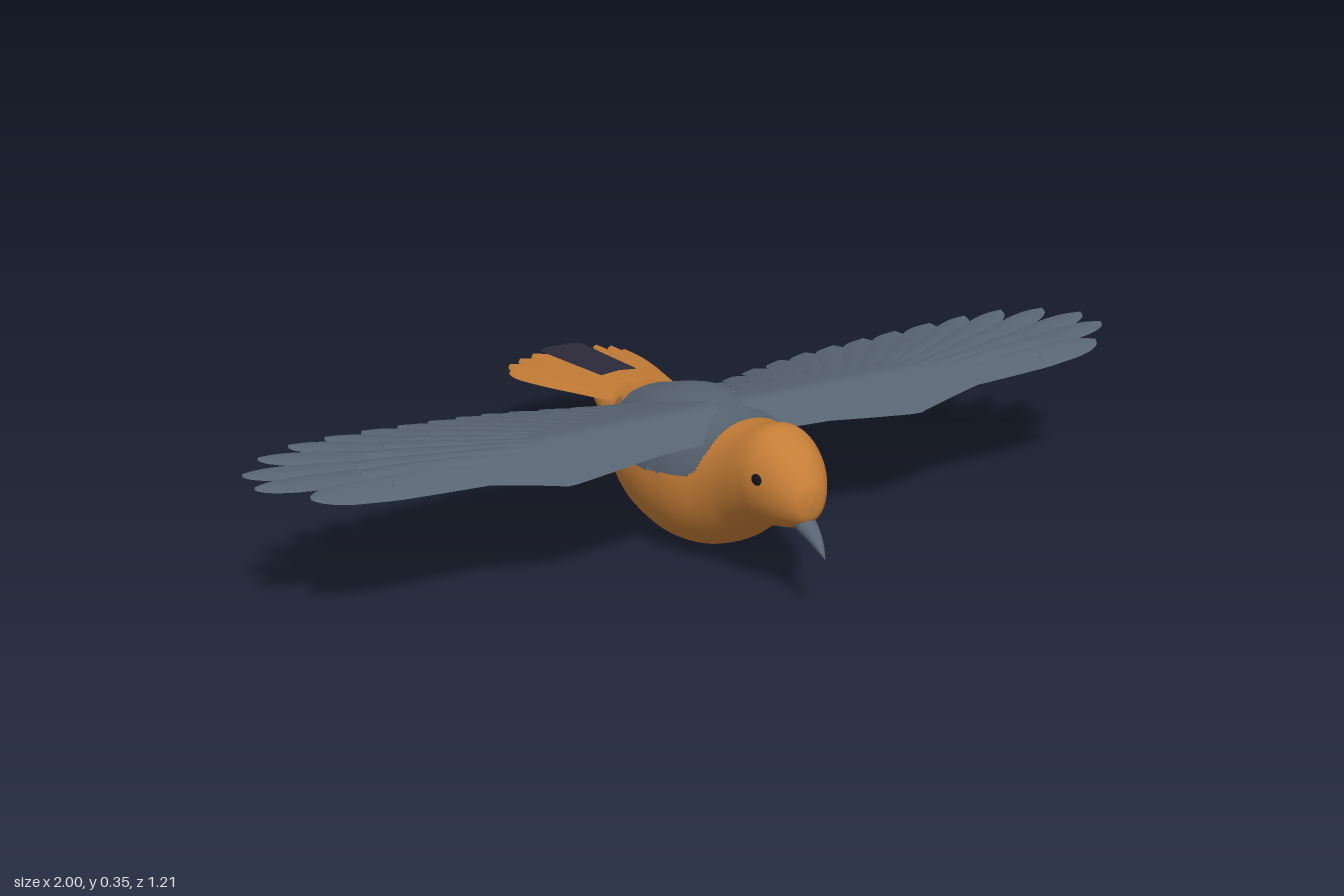
import * as THREE from 'three';

const mat = (name, color) => Object.assign(new THREE.MeshStandardMaterial({ color }), { name });

// Piecewise linear lookup through [x, y] pairs with x rising
function along(pts, x) {
  if (x <= pts[0][0]) return pts[0][1];
  for (let i = 1; i < pts.length; i++) {
    const [x0, y0] = pts[i - 1], [x1, y1] = pts[i];
    if (x <= x1) return y0 + (y1 - y0) * (x - x0) / (x1 - x0);
  }
  return pts[pts.length - 1][1];
}

// Smooth surface from f(u, v) -> [x, y, z]; pick() chooses the material per triangle
function surface(f, nu, nv, { closed = false, flip = false, pick = null } = {}) {
  const pos = [], lists = [[], [], []], cols = closed ? nv : nv + 1;
  for (let i = 0; i <= nu; i++)
    for (let j = 0; j < cols; j++) pos.push(...f(i / nu, j / nv));
  const tri = (a, b, c) => {
    const mid = k => (pos[a * 3 + k] + pos[b * 3 + k] + pos[c * 3 + k]) / 3;
    lists[pick ? pick(mid(1), mid(2)) : 0].push(...(flip ? [a, c, b] : [a, b, c]));
  };
  for (let i = 0; i < nu; i++)
    for (let j = 0; j < nv; j++) {
      const k = (j + 1) % cols;
      const a = i * cols + j, b = a + cols, c = i * cols + k, d = c + cols;
      tri(a, b, c);
      tri(b, d, c);
    }
  const g = new THREE.BufferGeometry();
  g.setAttribute('position', new THREE.Float32BufferAttribute(pos, 3));
  g.setIndex(lists.flat());
  if (pick) {
    let start = 0;
    lists.forEach((list, i) => {
      g.addGroup(start, list.length, i);
      start += list.length;
    });
  }
  g.computeVertexNormals();
  return g;
}

// Closed loft through rows of [z, top, bottom, halfWidth]
function loft(rows, nu, nv, pick) {
  const spine = new THREE.CatmullRomCurve3(rows.map(r => new THREE.Vector3(r[0], r[1], r[2])), false, 'catmullrom', 0.5);
  const width = new THREE.CatmullRomCurve3(rows.map(r => new THREE.Vector3(r[3], 0, 0)), false, 'catmullrom', 0.5);
  return surface((u, v) => {
    const s = spine.getPoint(u), w = Math.max(0, width.getPoint(u).x), a = v * Math.PI * 2;
    const c = Math.cos(a);
    return [w * Math.sign(c) * Math.abs(c) ** 0.92, (s.y + s.z) / 2 + (s.y - s.z) / 2 * Math.sin(a), s.x];
  }, nu, nv, { closed: true, pick });
}

// Arched wing height: both edges droop near the body, flat at the tip
function wingY(x, z) {
  const k = Math.max(0, Math.min(1, 1 - (x - 0.1) / 0.9));
  const back = Math.max(0, (0.22 - z) / 0.35), front = Math.max(0, (z - 0.2) / 0.11);
  return 0.324 - 0.1 * k * back ** 1.3 - 0.072 * k ** 0.7 * front ** 2;
}
const tailY = (x, z) => 0.241 + (z + 0.2) * 0.12 - Math.abs(x) * 0.1;

const LEAD = [[0, 0.29], [0.1, 0.285], [0.2, 0.29], [0.41, 0.315], [0.6, 0.29], [0.8, 0.262]];
const TRAIL = [[0, 0], [0.15, -0.01], [0.4, 0.05], [0.6, 0.14], [0.8, 0.24]];

// Slender blade with a rounded tip, laid on a height function
function feather(name, root, tip, w, height, m, lift, material) {
  const group = new THREE.Group();
  group.name = name;
  const dx = tip[0] - root[0], dz = tip[1] - root[1], len = Math.hypot(dx, dz);
  for (const side of [1, -1]) {
    const g = surface((u, v) => {
      const s = v * 2 - 1, t = 1 - (1 - u) ** 2;
      const end = t > 0.78 ? Math.sqrt(Math.max(0, 1 - ((t - 0.78) / 0.22) ** 2)) : 1;
      const hw = w * s * (0.45 + 0.55 * Math.min(1, t / 0.6)) * end;
      const x = root[0] + dx * t + dz / len * hw, z = root[1] + dz * t - dx / len * hw;
      return [m * x, height(x, z) + lift + 0.004 * s * end + side * 0.004 * (1 - s * s), z];
    }, 18, 6, { flip: m * side < 0 });
    const mesh = new THREE.Mesh(g, material);
    mesh.name = name + (side > 0 ? 'Top' : 'Underside');
    group.add(mesh);
  }
  return group;
}

export function createModel() {
  const orange = mat('orange plumage', 0xc67e37);
  const slate = mat('slate plumage', 0x586472);
  const brown = mat('brown flank', 0x95693f);
  const ink = mat('tail stripe', 0x2d2b3b);
  const black = mat('eye black', 0x14141c);
  const bird = new THREE.Group();
  bird.name = 'bird';
  const add = (name, geo, m, parent = bird) => {
    const mesh = new THREE.Mesh(geo, m);
    mesh.name = name;
    parent.add(mesh);
    return mesh;
  };

  // Body with a slate saddle over the back and a brown patch behind it on each flank
  const saddle = [[-0.11, 0.258], [-0.085, 0.235], [-0.05, 0.205], [-0.01, 0.175], [0.05, 0.18], [0.2, 0.2], [0.27, 0.212], [0.29, 0.23], [0.305, 0.28]];
  const flank = [[-0.13, 0.235], [-0.09, 0.18], [-0.05, 0.167], [0, 0.172]];
  const plumage = (y, z) => {
    if (z > -0.11 && z < 0.305 && y > along(saddle, z)) return 1;
    return z > -0.13 && z < 0 && y > along(flank, z) && y < 0.245 ? 2 : 0;
  };
  add('body', loft([
    [0.55, 0.235, 0.225, 0], [0.54, 0.272, 0.19, 0.035], [0.5, 0.322, 0.165, 0.066], [0.45, 0.346, 0.15, 0.086],
    [0.41, 0.353, 0.132, 0.093], [0.35, 0.336, 0.1, 0.104], [0.3, 0.327, 0.06, 0.12], [0.25, 0.327, 0.031, 0.142],
    [0.2, 0.328, 0.012, 0.157], [0.13, 0.328, 0.001, 0.166], [0.05, 0.318, 0.007, 0.164], [0, 0.305, 0.02, 0.156],
    [-0.05, 0.288, 0.042, 0.142], [-0.1, 0.27, 0.078, 0.12], [-0.15, 0.255, 0.12, 0.104], [-0.2, 0.243, 0.14, 0.088],
    [-0.3, 0.228, 0.168, 0.058], [-0.34, 0.215, 0.195, 0],
  ], 200, 120, plumage), [orange, slate, brown]);

  // Down-curved beak
  add('beak', loft([
    [0.605, 0.136, 0.134, 0], [0.585, 0.163, 0.144, 0.009], [0.56, 0.186, 0.153, 0.016],
    [0.53, 0.2, 0.163, 0.022], [0.49, 0.205, 0.17, 0.024],
  ], 20, 20), slate);

  for (const m of [1, -1]) {
    const label = m > 0 ? 'left' : 'right';

    // Eye, nearly flush with the side of the head
    const eye = add(label + 'Eye', new THREE.SphereGeometry(0.0125, 16, 12), black);
    eye.position.set(m * 0.0785, 0.27, 0.468);
    eye.rotation.y = -m * 0.38;
    eye.scale.x = 0.3;

    const wing = new THREE.Group();
    wing.name = label + 'Wing';
    bird.add(wing);

    // Wing arm
    for (const side of [1, -1])
      add(label + 'Forewing' + (side > 0 ? 'Top' : 'Underside'), surface((u, v) => {
        const x = 0.03 + 0.77 * u, z = along(LEAD, x) + (along(TRAIL, x) - along(LEAD, x)) * v;
        const thick = (0.006 + 0.016 * (1 - x)) * Math.sin(Math.PI * v) ** 0.6;
        return [m * x, wingY(x, z) + (side > 0 ? 0.5 : -1) * thick, z];
      }, 40, 20, { flip: m * side < 0 }), slate, wing);

    // Flight feathers fanned from wrist to body, each with a shorter covert
    const tips = [[0.92, 0.25], [1, 0.165], [1, 0.092], [0.945, 0.02], [0.865, -0.03], [0.78, -0.055], [0.695, -0.07],
      [0.61, -0.085], [0.535, -0.102], [0.465, -0.12], [0.4, -0.135], [0.335, -0.14], [0.265, -0.135], [0.2, -0.115], [0.145, -0.09]];
    const rootX = [[0, 0.52], [6, 0.42], [14, 0.13]], rootZ = [[0, 0.275], [6, 0.16], [14, 0.1]];
    tips.forEach((tip, i) => {
      const root = [along(rootX, i), along(rootZ, i)];
      const w = i < 6 ? 0.032 : 0.04;
      wing.add(feather(label + 'FlightFeather' + (i + 1), root, tip, w, wingY, m, 0, slate));
      const mid = [root[0] + (tip[0] - root[0]) * 0.6, root[1] + (tip[1] - root[1]) * 0.6];
      wing.add(feather(label + 'Covert' + (i + 1), root, mid, w * 0.75, wingY, m, 0.004, slate));
    });

    // Tail feathers
    [[0.02, -0.597], [0.065, -0.6], [0.1, -0.597], [0.133, -0.583], [0.148, -0.545]].forEach((tip, i) =>
      bird.add(feather(label + 'TailFeather' + (i + 1), [0.01 + i * 0.015, -0.13], tip, 0.025, tailY, m, -i * 0.002, orange)));
  }

  // Dark stripe on top of the tail, showing a little at the tip underneath
  for (const [name, side, start, half] of [['tailStripe', 1, -0.28, 0.045], ['tailStripeUnderside', -1, -0.5, 0.018]])
    add(name, surface((u, v) => {
      const x = (v * 2 - 1) * (half + 0.01 * u);
      const z = start + (-0.583 - start - 0.012 * Math.abs(Math.sin(v * Math.PI * 2))) * u;
      return [x, tailY(x, z) + side * 0.009, z];
    }, 12, 24, { flip: side > 0 }), ink);

  return bird;
}
